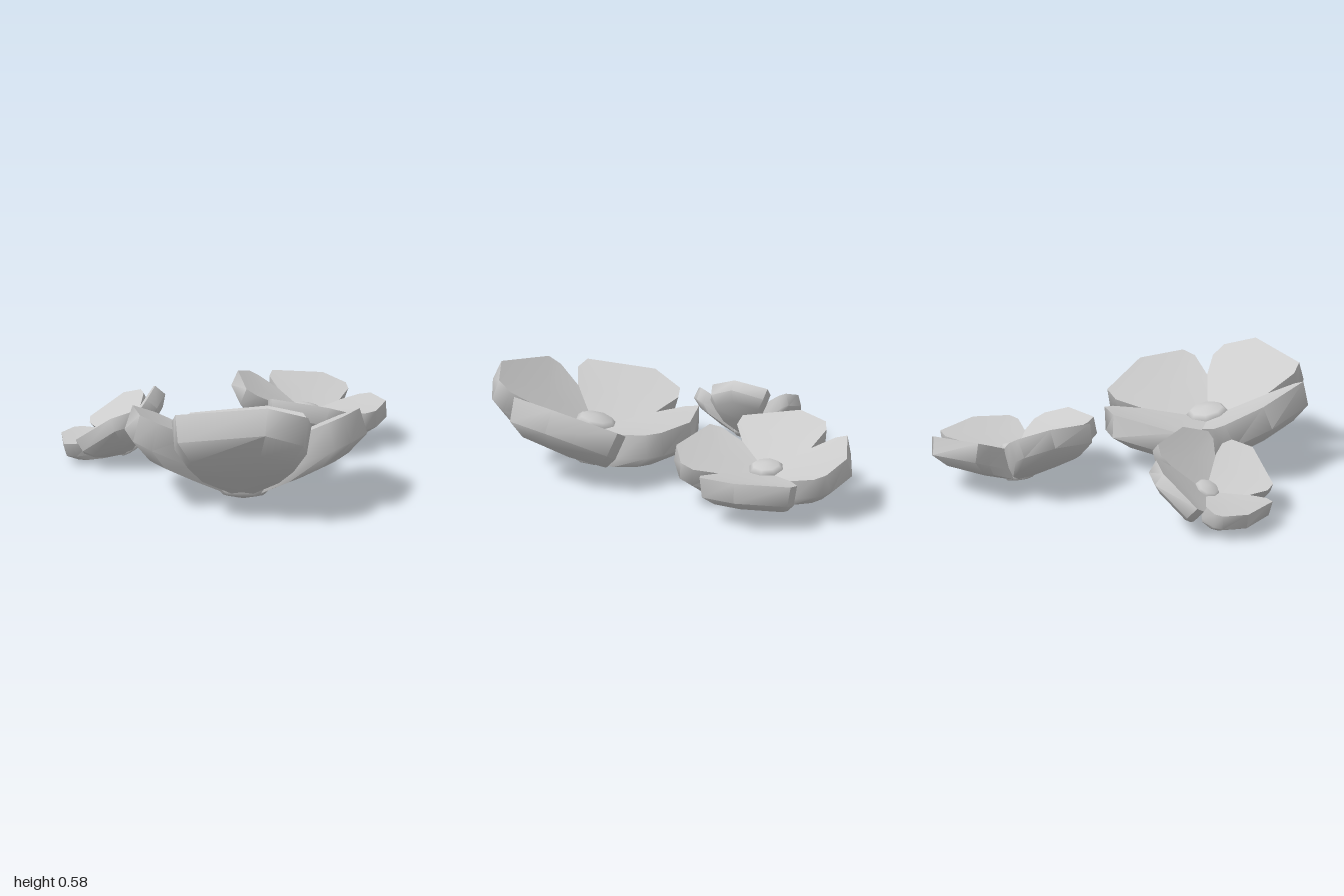
import * as THREE from 'three';
import { toCreasedNormals } from 'three/addons/utils/BufferGeometryUtils.js';

const material = new THREE.MeshStandardMaterial({ color: 0xcccccc });
const deg = THREE.MathUtils.degToRad;

// A thick petal pointing along +x: stacked loops of one outline, closed by fans.
// tipShift moves the outermost corner sideways.
function petalGeometry(tipShift) {
  const outline = [
    [0, 0], [0.25, 0.242], [0.45, 0.31], [0.53, 0.285],
    [0.62, tipShift], [0.515, -0.32], [0.42, -0.335], [0.25, -0.242],
  ];
  const loops = [
    outline.map(([u, v]) => [u, 0, v]), // upper face
    outline.map(([u, v]) => [u * 1.06 - 0.05, -0.14 + 0.02 * u, v * 0.94]), // lower rim
    outline.map(([u, v]) => [u * 0.86 - 0.05, -0.2 + 0.03 * u, v * 0.76]), // rounded underside
  ];
  const n = outline.length;
  const positions = [[0.34, -0.02, 0], ...loops.flat(), [0.22, -0.205, 0]];
  const last = positions.length - 1;
  const index = [];
  for (let i = 0; i < n; i++) {
    const j = (i + 1) % n;
    index.push(0, 1 + i, 1 + j);
    for (let k = 0; k < loops.length - 1; k++) {
      const a = 1 + k * n, b = a + n;
      index.push(b + i, b + j, a + j, b + i, a + j, a + i);
    }
    const c = 1 + (loops.length - 1) * n;
    index.push(last, c + j, c + i);
  }
  const geometry = new THREE.BufferGeometry();
  geometry.setAttribute('position', new THREE.Float32BufferAttribute(positions.flat(), 3));
  geometry.setIndex(index);
  return toCreasedNormals(geometry, deg(60));
}

// Four cupped petals around a low faceted centre, with a rounded base below.
function createFlower(slope) {
  const flower = new THREE.Group();
  [0.09, 0.02, -0.14, 0.08].forEach((tipShift, i) => {
    const petal = new THREE.Mesh(petalGeometry(tipShift), material);
    petal.name = `petal${i + 1}`;
    petal.rotation.set(0, deg(45 - 90 * i), deg(slope));
    flower.add(petal);
  });
  for (const [name, radius, y] of [['flowerCentre', 0.13, 0.025], ['flowerBase', 0.14, -0.15]]) {
    const dome = new THREE.Mesh(new THREE.SphereGeometry(radius, 8, 4), material);
    dome.name = name;
    dome.scale.y = 0.4;
    dome.position.y = y;
    flower.add(dome);
  }
  return flower;
}

export function createModel() {
  const model = new THREE.Group();
  model.name = 'flowers';
  // lean: horizontal direction whose side is lifted by the tilt
  const flowers = [
    { name: 'largeFlower', at: [-0.447, 0.212, 0.387], size: 1.01, tilt: 13, lean: [-1, 1], slope: 23.5 },
    { name: 'mediumFlower', at: [0.555, 0.165, -0.19], size: 0.76, tilt: 10, lean: [-0.9, -1], slope: 20 },
    { name: 'smallFlower', at: [-0.487, 0.137, -0.603], size: 0.56, tilt: 28, lean: [1, 0.9], slope: 27 },
  ];
  for (const { name, at, size, tilt, lean, slope } of flowers) {
    const flower = createFlower(slope);
    flower.name = name;
    flower.position.set(...at);
    flower.scale.setScalar(size);
    const axis = new THREE.Vector3(-lean[1], 0, lean[0]).normalize();
    flower.quaternion.setFromAxisAngle(axis, deg(tilt));
    model.add(flower);
  }
  return model;
}
